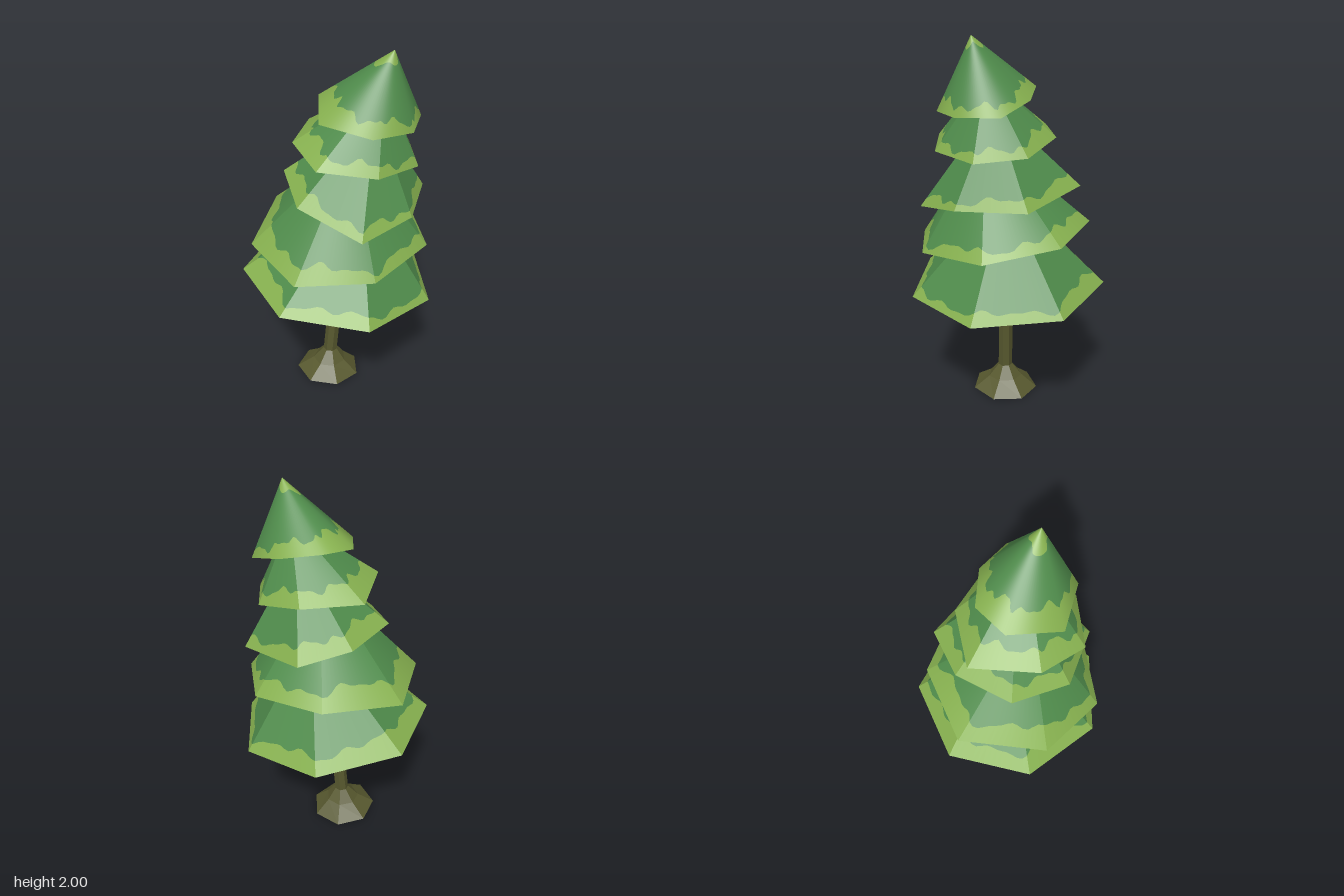
import * as THREE from 'three';
import { mergeVertices } from 'three/addons/utils/BufferGeometryUtils.js';

const needleGreen = new THREE.MeshStandardMaterial({ color: 0x4f8b4b });
needleGreen.name = 'needle green';
const tipGreen = new THREE.MeshStandardMaterial({ color: 0x86b04f });
tipGreen.name = 'light tip green';
const bark = new THREE.MeshStandardMaterial({ color: 0x58592f });
bark.name = 'bark brown';

// Each tier: seven rim corners (left, front, right, back), tip of the cone,
// width of the light band and softness of the shading between faces.
const TIERS = [
  { rim: [[-0.5, 0.74, 0], [-0.31, 0.705, 0.41], [0.14, 0.66, 0.51], [0.5, 0.635, 0.23],
    [0.5, 0.65, -0.23], [0.15, 0.7, -0.515], [-0.3, 0.735, -0.415]],
    tip: [0.14, 1.23, 0.02], band: 0.11, soft: 0 },
  { rim: [[-0.44, 0.96, 0.1], [-0.23, 0.907, 0.435], [0.17, 0.915, 0.45], [0.48, 0.95, 0.17],
    [0.44, 1.005, -0.22], [0.11, 1.037, -0.435], [-0.3, 1.005, -0.345]],
    tip: [0.08, 1.5, 0.11], band: 0.13, soft: 0.5 },
  { rim: [[-0.255, 1.31, -0.05], [-0.2, 1.25, 0.26], [0.1, 1.145, 0.45], [0.365, 1.19, 0.29],
    [0.485, 1.2, -0.05], [0.22, 1.26, -0.355], [-0.05, 1.3, -0.29]],
    tip: [0.2, 1.67, 0.08], band: 0.13, soft: 0 },
  { rim: [[-0.21, 1.53, 0.1], [-0.11, 1.48, 0.34], [0.18, 1.445, 0.37], [0.4, 1.425, 0.2],
    [0.4, 1.445, -0.06], [0.2, 1.505, -0.23], [-0.11, 1.52, -0.23]],
    tip: [0.23, 1.82, 0.12], band: 0.165, soft: 0.3 },
  { rim: [[-0.088, 1.67, 0.23], [0.15, 1.637, 0.355], [0.35, 1.635, 0.28], [0.425, 1.64, 0.07],
    [0.29, 1.7, -0.085], [0.08, 1.743, -0.145], [-0.07, 1.72, -0.04]],
    tip: [0.26, 2, 0.19], band: 0.19, soft: 1 },
];
const STEPS = 14;

// Strip of a faceted cone between two heights lo(u) and hi(u), 0 at the rim and 1 at the tip
function coneStrip(rim, tip, lo, hi, soft = 0, flip = false) {
  const n = rim.length, pos = [], nor = [];
  const face = rim.map((a, i) => new THREE.Vector3().subVectors(rim[(i + 1) % n], a)
    .cross(new THREE.Vector3().subVectors(tip, a)).normalize().multiplyScalar(flip ? -1 : 1));
  const corner = rim.map((_, i) => face[i].clone().add(face[(i + n - 1) % n]).normalize());
  for (let i = 0; i < n; i++) {
    const next = (i + 1) % n;
    const put = (s, t) => {
      pos.push(...rim[i].clone().lerp(rim[next], s).lerp(tip, t).toArray());
      const smooth = corner[i].clone().lerp(corner[next], s);
      nor.push(...face[i].clone().lerp(smooth, soft).normalize().toArray());
    };
    for (let j = 0; j < STEPS; j++) {
      const s0 = j / STEPS, s1 = (j + 1) / STEPS;
      const a = [s0, lo(i + s0)], b = [s1, lo(i + s1)];
      const c = [s1, hi(i + s1)], d = [s0, hi(i + s0)];
      const quad = flip ? [a, c, b, a, d, c] : [a, b, c, a, c, d];
      quad.forEach(([s, t]) => put(s, t));
    }
  }
  const g = new THREE.BufferGeometry();
  g.setAttribute('position', new THREE.Float32BufferAttribute(pos, 3));
  g.setAttribute('normal', new THREE.Float32BufferAttribute(nor, 3));
  return mergeVertices(g);
}

function addMesh(parent, geometry, material, name) {
  const mesh = new THREE.Mesh(geometry, material);
  mesh.name = name;
  parent.add(mesh);
}

function makeTier({ rim, tip, band, soft }, index) {
  const group = new THREE.Group();
  group.name = `branchTier${index + 1}`;
  const corners = rim.map((p) => new THREE.Vector3(...p));
  const n = corners.length;
  const top = new THREE.Vector3(...tip);
  // Underside is slightly hollow
  const centre = corners.reduce((sum, p) => sum.add(p), new THREE.Vector3()).divideScalar(n);
  centre.y += 0.04;

  // Wavy border of the light band, wider towards the back left
  const ripple = (w) => 0.2 * Math.sin(5 * w + index * 2) + 0.17 * Math.sin(12 * w + index)
    + 0.1 * Math.sin(21 * w + index * 3);
  const angle = (u) => (u / n) * Math.PI * 2;
  const edge = (u) => band * (1 + ripple(angle(u)) + 0.35 * Math.cos(angle(u) + 0.7));
  const under = (u) => 0.08 + 0.03 * ripple(angle(u));
  const tipEdge = (u) => 0.83 - 0.05 * Math.cos(angle(u) + 0.7) + 0.04 * Math.sin(3 * angle(u));
  const zero = () => 0, one = () => 1;

  const last = index === TIERS.length - 1;
  addMesh(group, coneStrip(corners, top, zero, edge, soft), tipGreen, 'lightBand');
  addMesh(group, coneStrip(corners, top, edge, last ? tipEdge : one, soft), needleGreen, 'needles');
  if (last) addMesh(group, coneStrip(corners, top, tipEdge, one, soft), tipGreen, 'treeTip');
  addMesh(group, coneStrip(corners, centre, zero, under, 0, true), tipGreen, 'undersideRim');
  addMesh(group, coneStrip(corners, centre, under, one, 0, true), needleGreen, 'underside');
  return group;
}

// Leaning trunk with a flared, slightly tilted foot
function makeTrunk() {
  const profile = [[0, 0], [0.183, 0], [0.095, 0.08], [0.04, 0.15], [0.037, 0.85]]
    .map(([r, y]) => new THREE.Vector2(r, y));
  const g = new THREE.LatheGeometry(profile, 7, 0.2).toNonIndexed();
  const p = g.attributes.position;
  for (let i = 0; i < p.count; i++) {
    const x = p.getX(i), y = p.getY(i), z = p.getZ(i);
    p.setX(i, x - 0.03 + 0.085 * y);
    if (y < 0.01) p.setY(i, Math.max(0, 0.01 - 0.04 * x + 0.03 * z));
  }
  g.computeVertexNormals();
  return g;
}

export function createModel() {
  const tree = new THREE.Group();
  tree.name = 'tree';
  addMesh(tree, makeTrunk(), bark, 'trunk');
  TIERS.forEach((tier, i) => tree.add(makeTier(tier, i)));
  return tree;
}
